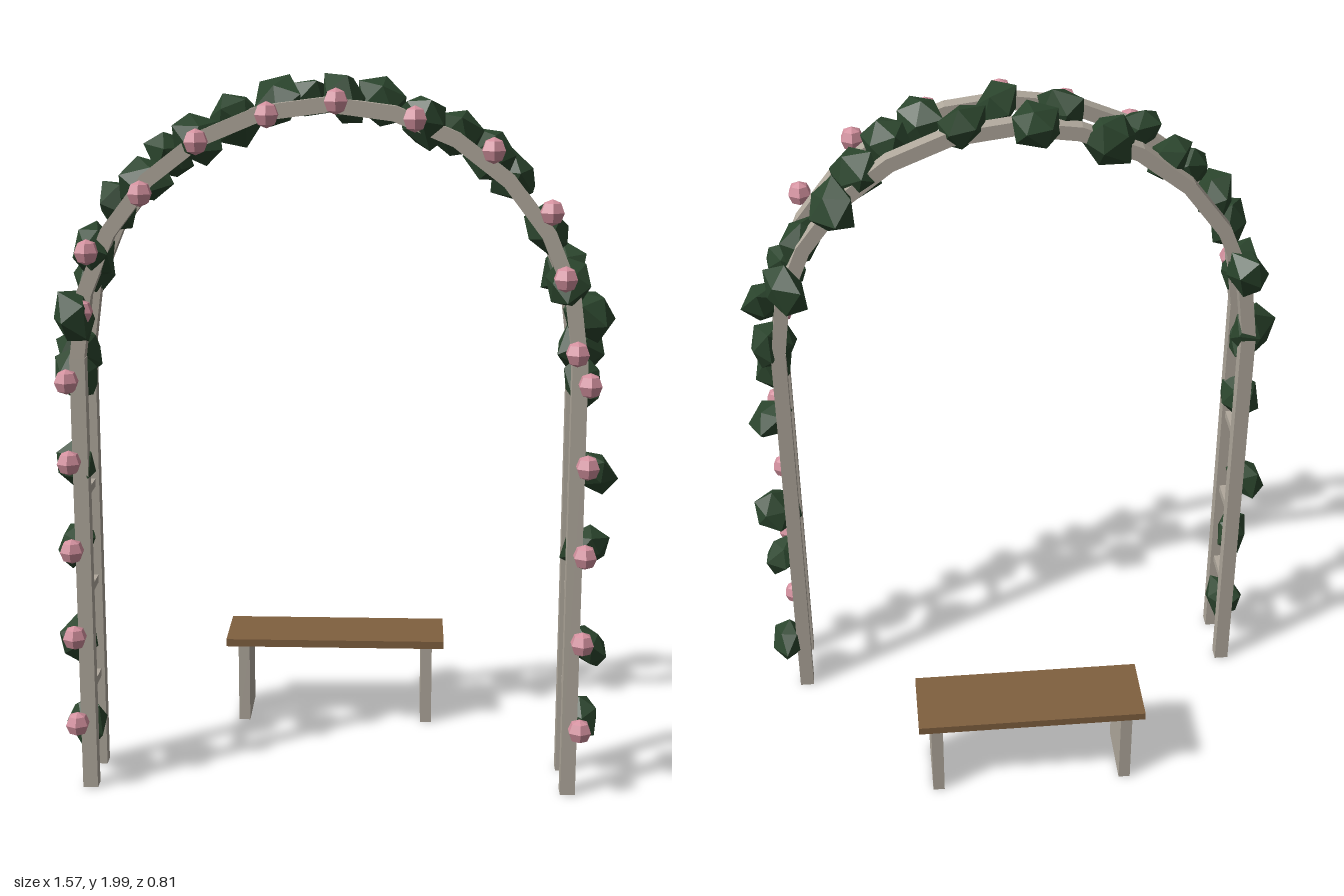
import * as THREE from 'three';

const mat = (name, color, flat = false) => {
  const m = new THREE.MeshStandardMaterial({ color, flatShading: flat });
  m.name = name;
  return m;
};

export function createModel() {
  const model = new THREE.Group();
  model.name = 'gardenArchAndBench';
  const paint = mat('weatheredStone', 0xb0a89c);
  const wood = mat('brownWood', 0x80603f);
  const green = mat('darkLeaf', 0x2b452d, true);
  const pink = mat('pinkBlossom', 0xd4919f, true);

  const add = (parent, name, geo, material, x, y, z) => {
    const mesh = new THREE.Mesh(geo, material);
    mesh.name = name;
    mesh.position.set(x, y, z);
    parent.add(mesh);
    return mesh;
  };
  const group = (name) => {
    const g = new THREE.Group();
    g.name = name;
    model.add(g);
    return g;
  };

  // Timber frame: posts, ladder rungs and two segmented half-round hoops
  const CX = -0.003, R = 0.675, SPRING = 1.24, T = 0.042;
  const ZF = 0.297, ZB = 0.13;
  const frame = group('archFrame');
  const postGeo = new THREE.BoxGeometry(T, SPRING, T);
  const rungGeo = new THREE.BoxGeometry(0.022, 0.022, ZF - ZB);
  for (const side of [-1, 1]) {
    for (const z of [ZF, ZB]) add(frame, 'post', postGeo, paint, CX + side * R, SPRING / 2, z);
    for (let i = 1; i <= 4; i++) {
      add(frame, 'rung', rungGeo, paint, CX + side * R, i * 0.284, (ZF + ZB) / 2);
    }
  }
  const N = 12;
  const segGeo = new THREE.BoxGeometry(T * 0.95, 2 * R * Math.sin(Math.PI / N / 2) + 0.006, T);
  for (const z of [ZF, ZB]) {
    for (let i = 0; i < N; i++) {
      const a = ((i + 0.5) * Math.PI) / N;
      const r = R * Math.cos(Math.PI / N / 2);
      const seg = add(frame, 'hoopSegment', segGeo, paint,
        CX + r * Math.cos(a), SPRING + r * Math.sin(a), z);
      seg.rotation.z = a;
    }
  }

  // Bench: plank seat on two slab legs
  const bench = group('bench');
  add(bench, 'seat', new THREE.BoxGeometry(0.668, 0.023, 0.218), wood, CX, 0.256, -0.297);
  const legGeo = new THREE.BoxGeometry(0.034, 0.245, 0.19);
  for (const side of [-1, 1]) add(bench, 'benchLeg', legGeo, paint, CX + side * 0.281, 0.1225, -0.297);

  // Leaf clump: a faceted ball with its corners pushed in and out
  let seed = 7;
  const rand = () => (seed = (seed * 16807) % 2147483647) / 2147483647;
  const clumpGeo = (k) => {
    const geo = new THREE.IcosahedronGeometry(1, 0);
    const p = geo.attributes.position;
    const v = new THREE.Vector3();
    for (let i = 0; i < p.count; i++) {
      v.fromBufferAttribute(p, i);
      v.multiplyScalar(1 + 0.17 * Math.sin(v.x * 5 + v.y * 9 + v.z * 13 + k * 2));
      p.setXYZ(i, v.x, v.y, v.z);
    }
    geo.computeVertexNormals();
    return geo;
  };
  const clumps = [0, 1, 2, 3].map(clumpGeo);
  const leaves = group('climbingLeaves');
  const leaf = (x, y, z, s) => {
    const m = add(leaves, 'leafClump', clumps[leaves.children.length % 4], green, x, y, z);
    m.rotation.set(rand() * 6, rand() * 6, rand() * 6);
    m.scale.set(s, s * 0.95, s * 0.72);
  };
  // Clumps on the legs: x, y, z
  [
    [-0.70, 0.17, 0.22], [-0.71, 0.42, 0.25], [-0.72, 0.68, 0.18], [-0.70, 0.94, 0.26],
    [0.72, 0.175, 0.145], [0.72, 0.425, 0.26], [0.72, 0.68, 0.155], [0.715, 0.935, 0.275],
  ].forEach(([x, y, z]) => leaf(x, y, z, 0.073));
  // Denser clumps at the shoulders
  [
    [-0.70, 1.17, 0.22], [-0.70, 1.23, 0.16], [-0.68, 1.35, 0.32], [-0.66, 1.44, 0.11],
    [-0.63, 1.53, 0.28], [-0.57, 1.64, 0.22],
    [0.69, 1.17, 0.20], [0.69, 1.25, 0.16], [0.69, 1.36, 0.24], [0.64, 1.45, 0.28],
    [0.64, 1.46, 0.12], [0.59, 1.57, 0.18],
  ].forEach(([x, y, z]) => leaf(x, y, z, 0.08));
  // Clumps riding over the hoops: x, z
  [
    [-0.49, 0.25], [-0.43, 0.19], [-0.35, 0.26], [-0.265, 0.13], [-0.14, 0.21], [-0.06, 0.11],
    [0.04, 0.235], [0.14, 0.145], [0.25, 0.28], [0.34, 0.23], [0.43, 0.165], [0.50, 0.11],
  ].forEach(([x, z]) => leaf(x, SPRING + Math.sqrt(0.685 ** 2 - x * x), z, 0.08));

  // Blossoms along the front hoop and posts
  const blossoms = group('blossoms');
  const bloomGeo = new THREE.SphereGeometry(0.035, 6, 4).rotateY(Math.PI / 6);
  const bloom = (x, y) => add(blossoms, 'blossom', bloomGeo, pink, x, y, 0.338);
  for (const x of [-0.705, 0.698]) {
    for (const y of [0.2, 0.455, 0.705, 0.955, 1.18]) bloom(x, y);
  }
  [
    [-0.66, 1.37], [-0.64, 1.53], [-0.495, 1.685], [-0.345, 1.82], [-0.16, 1.89], [0.02, 1.925],
    [0.225, 1.88], [0.43, 1.80], [0.585, 1.64], [0.625, 1.465], [0.662, 1.265],
  ].forEach(([x, y]) => bloom(x, y));

  return model;
}
